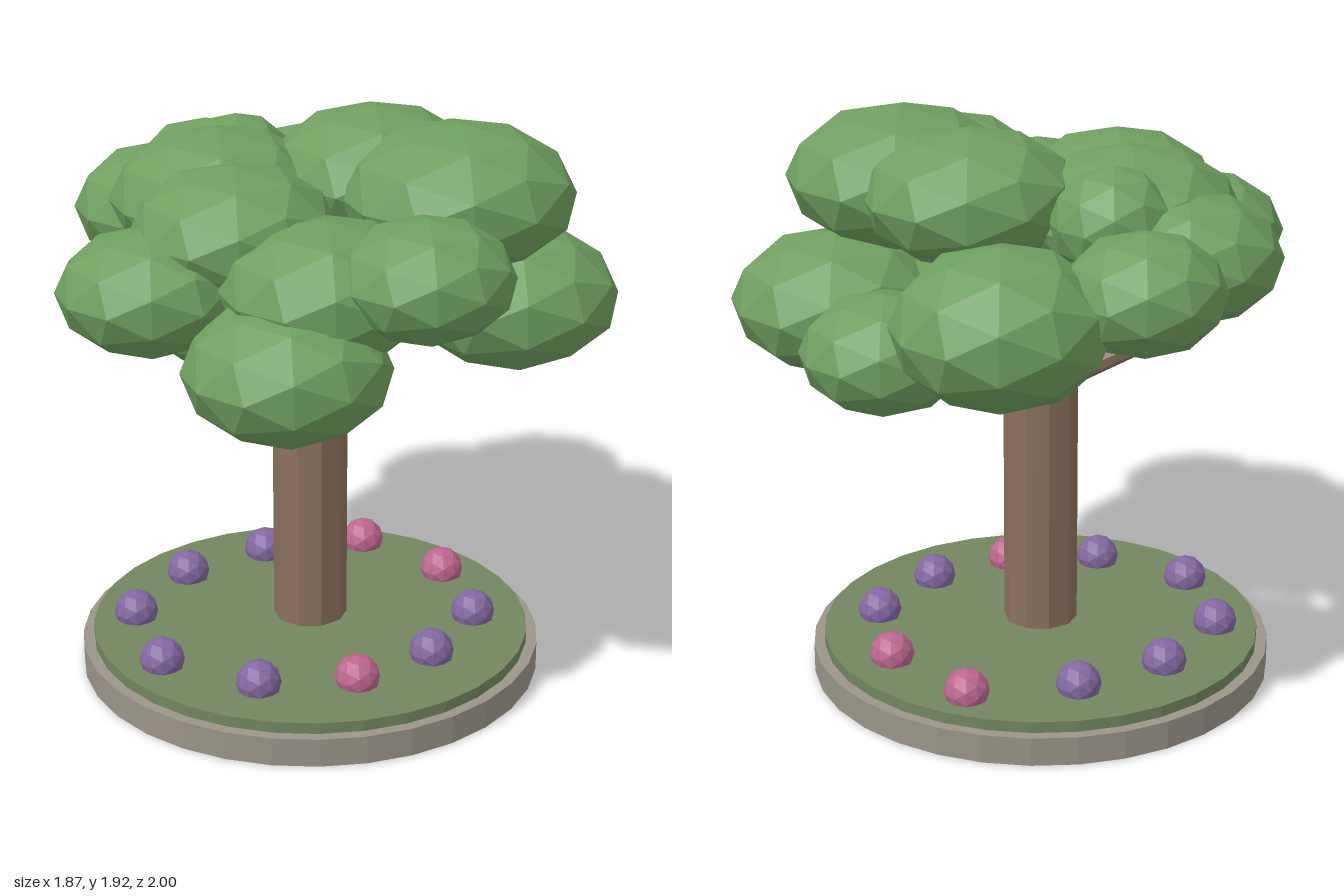
import * as THREE from 'three';

const flat = (name, color) => {
  const m = new THREE.MeshStandardMaterial({ color, flatShading: true });
  m.name = name;
  return m;
};

export function createModel() {
  const bark = flat('bark', 0x8b705c);
  const leaf = flat('leaf green', 0x6f9f5f);
  const stone = flat('stone', 0x9a9488);
  const grass = flat('grass', 0x72855f);
  const purple = flat('purple petals', 0x8467a2);
  const pink = flat('pink petals', 0xbd668f);

  const tree = new THREE.Group();
  tree.name = 'tree';
  const CX = -0.023; // trunk and planter axis

  const add = (name, geometry, material, x, y, z, parent = tree) => {
    const mesh = new THREE.Mesh(geometry, material);
    mesh.name = name;
    mesh.position.set(x, y, z);
    parent.add(mesh);
    return mesh;
  };

  // Upright cylinder between two heights, with a corner facing +x
  const drum = (name, r, y0, y1, sides, material) =>
    add(name, new THREE.CylinderGeometry(r, r, y1 - y0, sides).rotateY(Math.PI / 2),
      material, CX, (y0 + y1) / 2, 0);

  drum('stoneBase', 0.782, 0, 0.097, 32, stone);
  drum('grassDisc', 0.745, 0.097, 0.135, 32, grass);
  drum('trunk', 0.125, 0.16, 1.2, 10, bark);

  // Branches: angle around the trunk, start height, reach, rise
  const branches = [
    [0, 1.04, 0.46, 0.23],
    [72, 1.13, 0.45, 0.28],
    [144, 1.0, 0.45, 0.23],
    [216, 1.02, 0.45, 0.23],
    [288, 1.12, 0.36, 0.38],
    [322, 1.1, 0.36, 0.4],
  ];
  const up = new THREE.Vector3(0, 1, 0);
  for (const [deg, y, reach, rise] of branches) {
    const a = THREE.MathUtils.degToRad(deg);
    const start = new THREE.Vector3(CX + Math.cos(a) * 0.05, y, Math.sin(a) * 0.05);
    const span = new THREE.Vector3(Math.cos(a) * reach, rise, Math.sin(a) * reach);
    const mid = start.clone().addScaledVector(span, 0.5);
    const branch = add('branch', new THREE.CylinderGeometry(0.036, 0.042, span.length(), 8),
      bark, mid.x, mid.y, mid.z);
    branch.quaternion.setFromUnitVectors(up, span.normalize());
  }

  // Leaf clusters: centre x, y, z, horizontal radius, vertical radius
  const canopy = new THREE.Group();
  canopy.name = 'canopy';
  tree.add(canopy);
  const clusters = [
    [0.07, 1.54, -0.745, 0.255, 0.19],
    [0.46, 1.45, -0.565, 0.34, 0.25],
    [0.66, 1.3, -0.2, 0.27, 0.19],
    [0.54, 1.3, 0.355, 0.355, 0.235],
    [0.295, 1.685, 0.365, 0.38, 0.235],
    [0.24, 1.69, 0, 0.35, 0.22],
    [-0.21, 1.62, -0.25, 0.36, 0.23],
    [-0.04, 1.66, -0.4, 0.2, 0.18],
    [-0.25, 1.54, -0.5, 0.31, 0.21],
    [-0.36, 1.61, 0.06, 0.33, 0.21],
    [-0.635, 1.45, 0, 0.3, 0.2],
    [-0.47, 1.3, 0.5, 0.325, 0.22],
    [-0.27, 1.5, 0.43, 0.335, 0.22],
    [-0.115, 1.58, 0.72, 0.275, 0.19],
    [-0.3, 1.31, -0.1, 0.28, 0.2],
    [0.08, 1.4, 0.15, 0.28, 0.2],
  ];
  const puff = new THREE.IcosahedronGeometry(1, 1);
  for (const [x, y, z, r, h] of clusters) {
    add('leafCluster', puff, leaf, x, y, z, canopy).scale.set(r, h, r);
  }

  // Ring of ten flowers, with slightly uneven distances from the trunk
  const ring = [0.58, 0.56, 0.5, 0.5, 0.54, 0.605, 0.6, 0.54, 0.535, 0.62];
  const pinkOnes = [0, 3, 9];
  const bloom = new THREE.IcosahedronGeometry(0.075, 1);
  ring.forEach((r, i) => {
    const a = (i * Math.PI) / 5;
    add('flower', bloom, pinkOnes.includes(i) ? pink : purple,
      CX + Math.cos(a) * r, 0.16, Math.sin(a) * r);
  });

  return tree;
}
